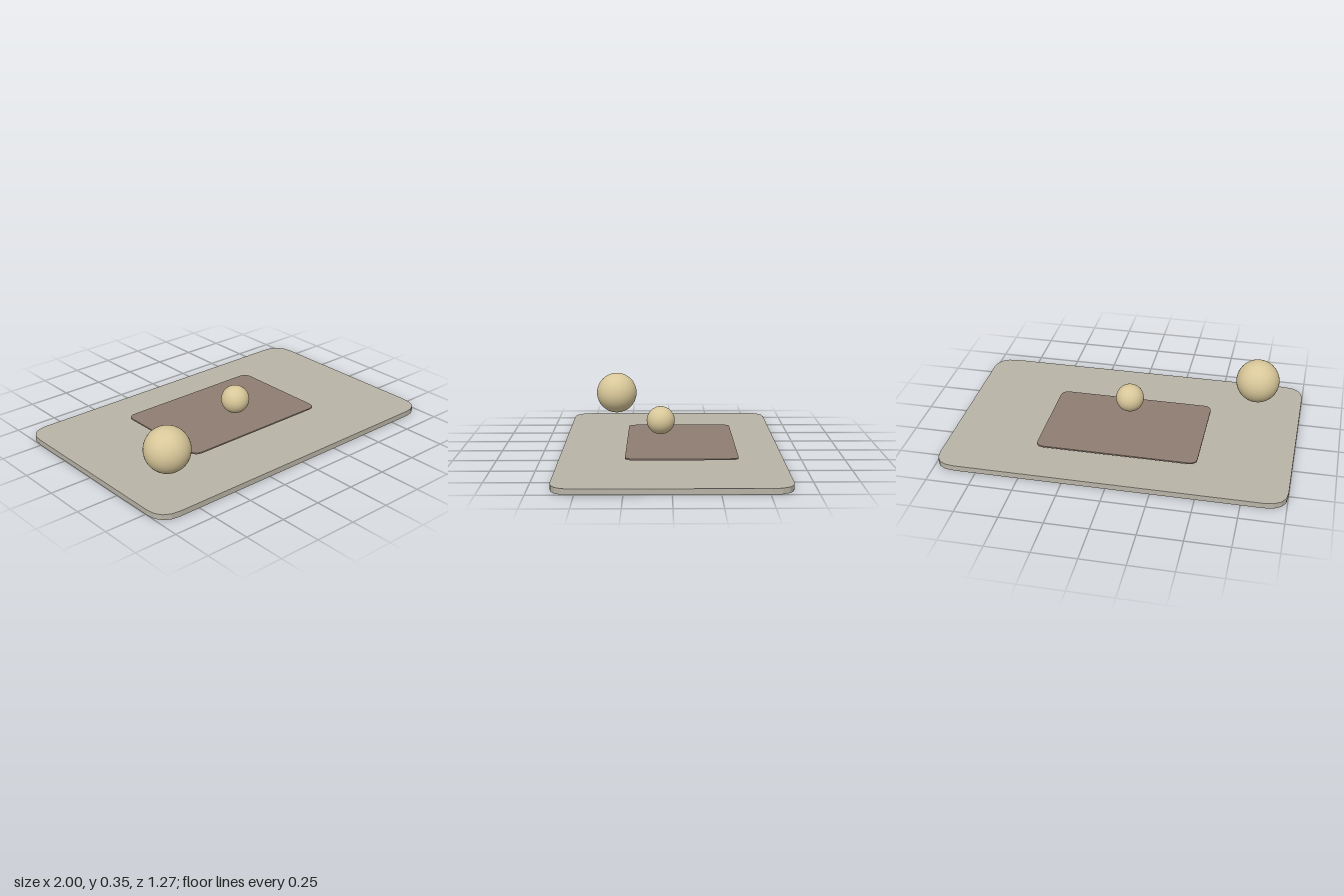
import * as THREE from 'three';

const material = (name, color) => {
  const m = new THREE.MeshStandardMaterial({ color });
  m.name = name;
  return m;
};

// Flat slab with rounded corners, lying in the xz plane with its underside at y = 0
function slab(width, depth, height, radius) {
  const x = width / 2, z = depth / 2, r = radius;
  const s = new THREE.Shape();
  s.moveTo(-x + r, -z);
  s.lineTo(x - r, -z);
  s.quadraticCurveTo(x, -z, x, -z + r);
  s.lineTo(x, z - r);
  s.quadraticCurveTo(x, z, x - r, z);
  s.lineTo(-x + r, z);
  s.quadraticCurveTo(-x, z, -x, z - r);
  s.lineTo(-x, -z + r);
  s.quadraticCurveTo(-x, -z, -x + r, -z);
  const g = new THREE.ExtrudeGeometry(s, { depth: height, bevelEnabled: false, curveSegments: 4 });
  return g.rotateX(-Math.PI / 2);
}

export function createModel() {
  const model = new THREE.Group();
  model.name = 'boardWithBalls';
  const stone = material('warm grey', 0xb9b4a7);
  const brown = material('dusty brown', 0x8f7d72);
  const sand = material('pale sand', 0xd8c799);

  const add = (name, geometry, mat, x, y, z) => {
    const mesh = new THREE.Mesh(geometry, mat);
    mesh.name = name;
    mesh.position.set(x, y, z);
    model.add(mesh);
  };

  // Base board and the thin panel floating above it
  add('baseBoard', slab(2, 1.266, 0.032, 0.125), stone, 0, 0, 0);
  add('innerPanel', slab(0.938, 0.633, 0.008, 0.05), brown, 0, 0.052, -0.059);

  // Floating balls
  add('largeBall', new THREE.SphereGeometry(0.13, 40, 28), sand, -0.732, 0.222, 0.346);
  add('smallBall', new THREE.SphereGeometry(0.083, 40, 28), sand, 0, 0.184, 0.058);

  return model;
}
